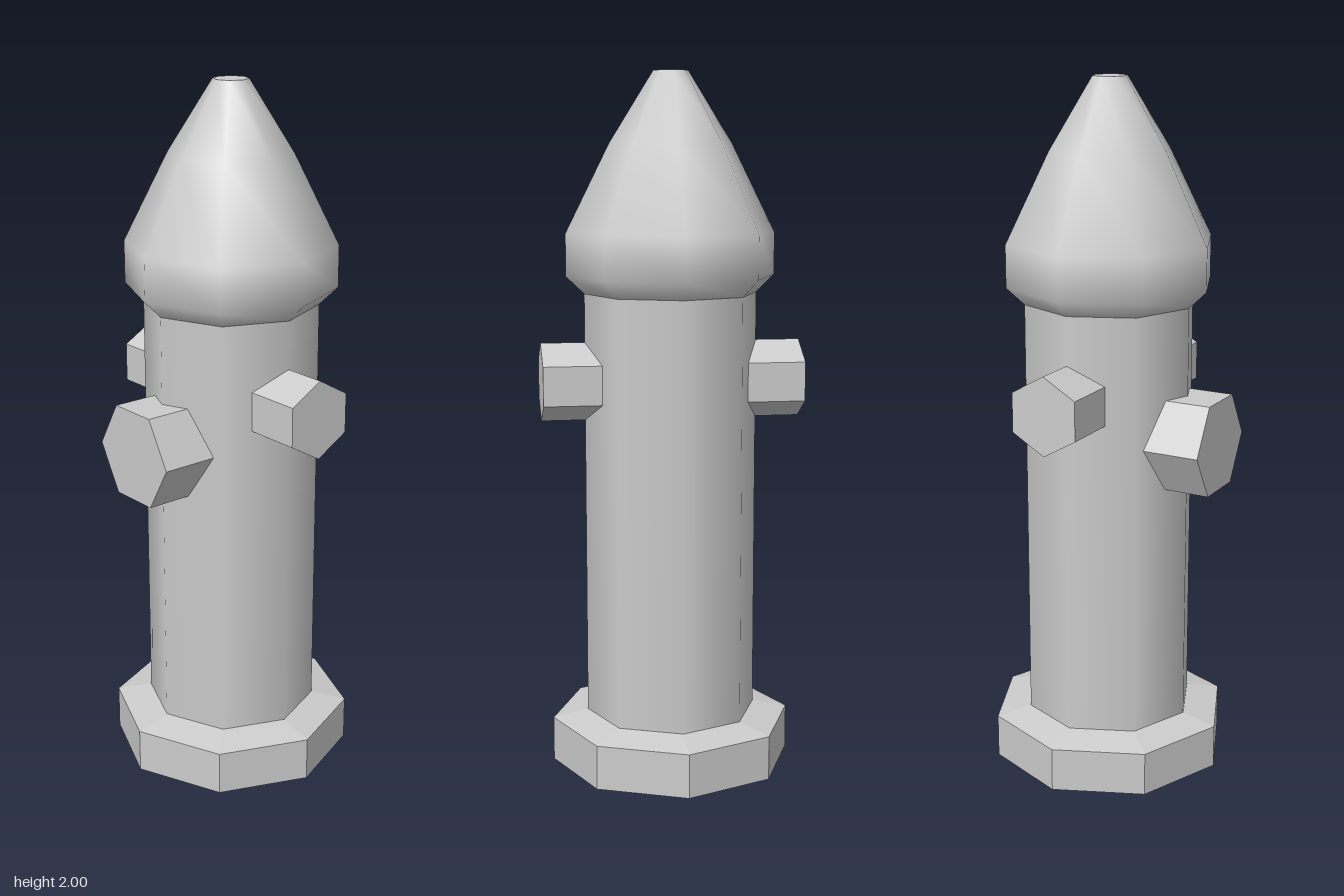
import * as THREE from 'three';

const SIDES = 8;
const smooth = new THREE.MeshStandardMaterial({ color: 0xcccccc });
const flat = new THREE.MeshStandardMaterial({ color: 0xcccccc, flatShading: true });

export function createModel() {
  const hydrant = new THREE.Group();
  hydrant.name = 'hydrant';

  const add = (name, geometry, material) => {
    const mesh = new THREE.Mesh(geometry, material);
    mesh.name = name;
    hydrant.add(mesh);
    return mesh;
  };

  // Eight-sided drum between two heights
  const drum = (rBottom, rTop, y0, y1, open = false) =>
    new THREE.CylinderGeometry(rTop, rBottom, y1 - y0, SIDES, 1, open).translate(0, (y0 + y1) / 2, 0);

  // Foot flange with a shallow sloping top
  add('baseFlange', drum(0.35, 0.35, 0, 0.128), flat);
  add('baseSlope', drum(0.35, 0.248, 0.128, 0.15, true), flat);

  // Barrel
  add('barrel', drum(0.248, 0.248, 0.14, 1.38), smooth);

  // Bonnet: flared collar, straight band, two-step cone
  const bonnetProfile = [
    [0.248, 1.38], [0.3, 1.43], [0.3, 1.55], [0.175, 1.8], [0.05, 2],
  ].map(([r, y]) => new THREE.Vector2(r, y));
  add('bonnet', new THREE.LatheGeometry(bonnetProfile, SIDES), smooth);
  add('bonnetTip', new THREE.CircleGeometry(0.05, SIDES).rotateX(-Math.PI / 2).translate(0, 2, 0), flat);

  // Hexagonal outlets, running out from inside the barrel along +y before turning
  const outlet = (radius, reach) =>
    new THREE.CylinderGeometry(radius, radius, reach - 0.15, 6, 1, false, Math.PI / 2)
      .translate(0, (reach + 0.15) / 2, 0);

  add('frontOutlet', outlet(0.15, 0.35).rotateX(Math.PI / 2), flat).position.y = 1;
  for (const [name, side] of [['leftOutlet', 1], ['rightOutlet', -1]]) {
    add(name, outlet(0.112, 0.374).rotateZ(-side * Math.PI / 2), flat).position.y = 1.13;
  }

  return hydrant;
}
